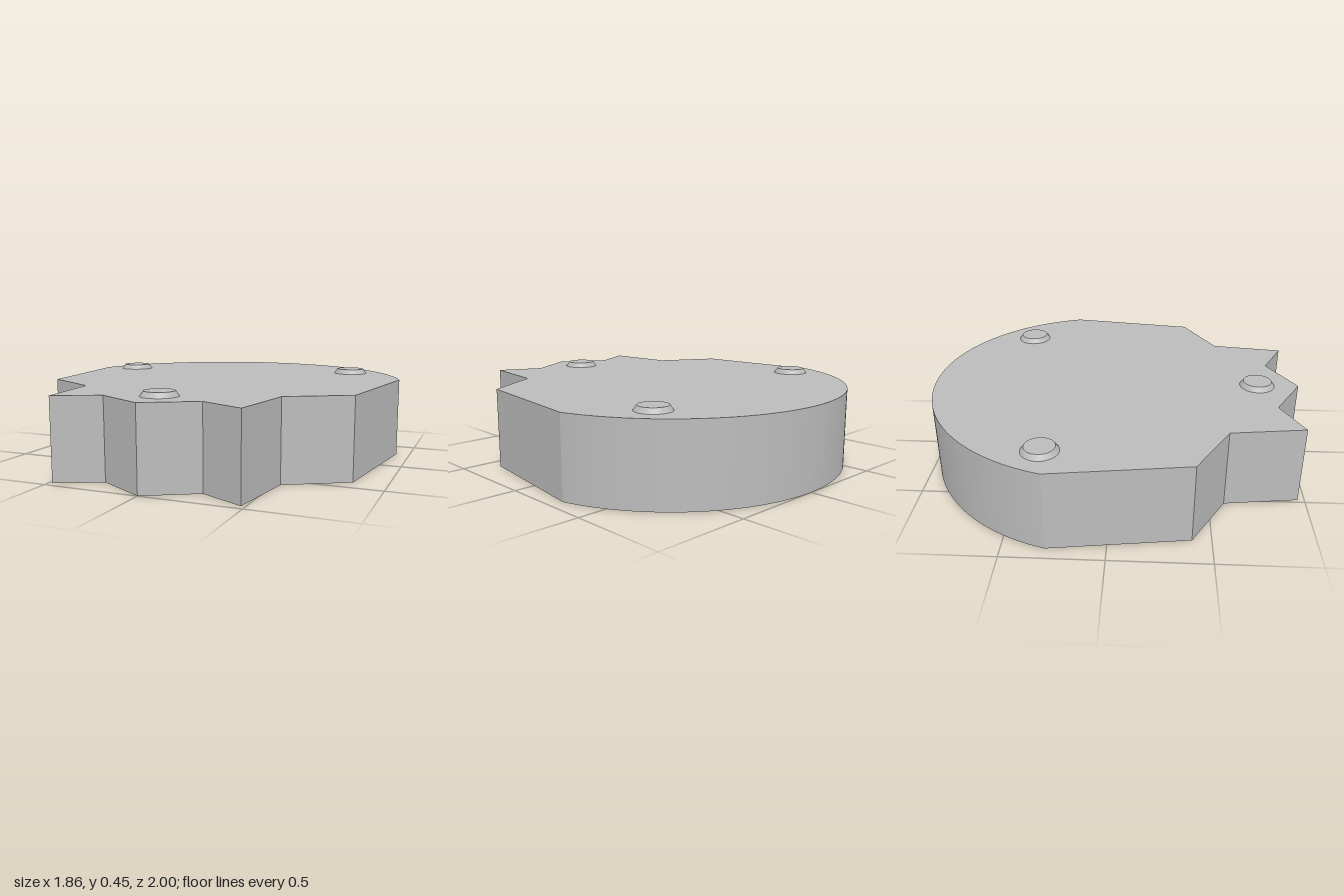
import * as THREE from 'three';

const HEIGHT = 0.42;

export function createModel() {
  const model = new THREE.Group();
  const grey = new THREE.MeshStandardMaterial({ color: 0xbcbcbc });
  grey.name = 'plain grey';

  // Slab outline: round back, tapered sides, toothed front (shape y is -z)
  const half = [[0, -1], [0.255, -0.855], [0.48, -0.965], [0.53, -0.58], [0.835, -0.405]];
  const outline = new THREE.Shape();
  outline.moveTo(...half[0]);
  half.slice(1).forEach(([x, y]) => outline.lineTo(x, y));
  const start = Math.atan2(0.254, 0.93);
  outline.absarc(0, 0.036, 0.964, start, Math.PI - start, false);
  half.slice(1).reverse().forEach(([x, y]) => outline.lineTo(-x, y));
  outline.closePath();

  const slabGeometry = new THREE.ExtrudeGeometry(outline, {
    depth: HEIGHT, bevelEnabled: false, curveSegments: 48,
  });
  slabGeometry.rotateX(-Math.PI / 2);
  const slab = new THREE.Mesh(slabGeometry, grey);
  slab.name = 'slab';
  model.add(slab);

  // Three low tapered studs on the top
  const studGeometry = new THREE.CylinderGeometry(0.076, 0.094, 0.026, 48);
  const studs = [['frontStud', 0, 0.775], ['leftStud', 0.6, -0.545], ['rightStud', -0.735, -0.32]];
  for (const [name, x, z] of studs) {
    const stud = new THREE.Mesh(studGeometry, grey);
    stud.name = name;
    stud.position.set(x, HEIGHT + 0.013, z);
    model.add(stud);
  }
  return model;
}
